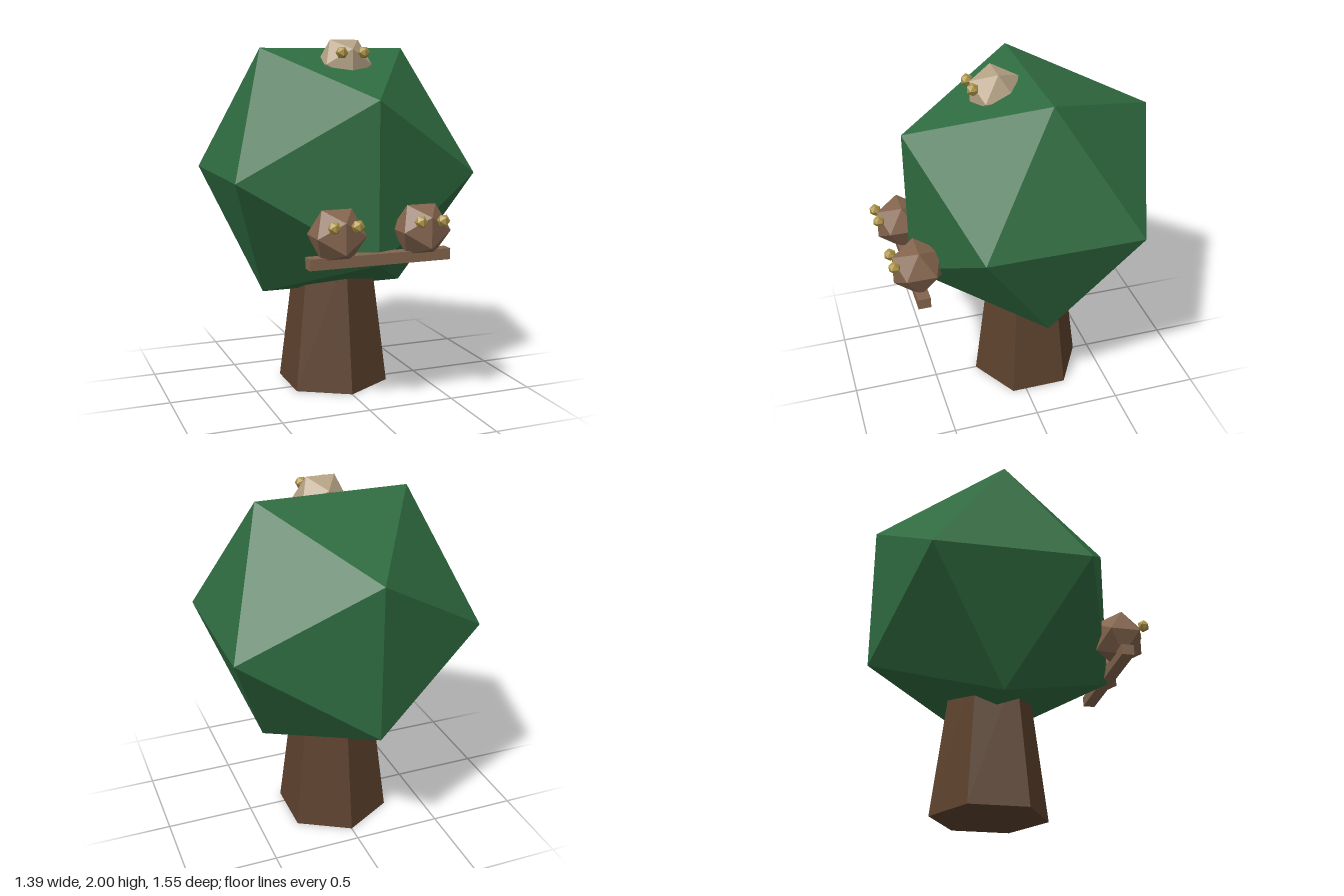
import * as THREE from 'three';

const material = (name, color) => {
  const m = new THREE.MeshStandardMaterial({ color, flatShading: true });
  m.name = name;
  return m;
};

export function createModel() {
  const leafGreen = material('leaf green', 0x2f6b40);
  const barkBrown = material('bark brown', 0x5c412d);
  const featherBrown = material('feather brown', 0x84654e);
  const featherPale = material('pale feather', 0xb5a286);
  const eyeGold = material('eye gold', 0xae9448);

  const model = new THREE.Group();
  model.name = 'owlTree';

  const add = (parent, name, geometry, mat, x, y, z) => {
    const mesh = new THREE.Mesh(geometry, mat);
    mesh.name = name;
    mesh.position.set(x, y, z);
    parent.add(mesh);
    return mesh;
  };

  // Tree: tapered six-sided trunk under one large faceted crown
  add(model, 'trunk', new THREE.CylinderGeometry(0.222, 0.325, 0.8, 6), barkBrown, 0, 0.4, -0.081);
  add(model, 'crown', new THREE.IcosahedronGeometry(0.815, 0), leafGreen, 0, 1.263, -0.082);

  // Perch bar across the front of the crown
  add(model, 'perch', new THREE.BoxGeometry(0.79, 0.06, 0.07), featherBrown, 0, 0.877, 0.613);

  // Owls: a faceted body with two bead eyes
  const bodyGeometry = new THREE.IcosahedronGeometry(0.156, 0);
  const eyeGeometry = new THREE.IcosahedronGeometry(0.035, 0);
  const addOwl = (name, mat, x, y, z) => {
    const owl = new THREE.Group();
    owl.name = name;
    owl.position.set(x, y, z);
    add(owl, 'body', bodyGeometry, mat, 0, 0, 0);
    add(owl, 'leftEye', eyeGeometry, eyeGold, 0.063, 0.063, 0.132);
    add(owl, 'rightEye', eyeGeometry, eyeGold, -0.063, 0.063, 0.132);
    model.add(owl);
  };
  addOwl('leftOwl', featherBrown, 0.237, 1.015, 0.614);
  addOwl('rightOwl', featherBrown, -0.237, 1.015, 0.614);
  addOwl('topOwl', featherPale, 0, 1.867, 0.103);

  return model;
}
